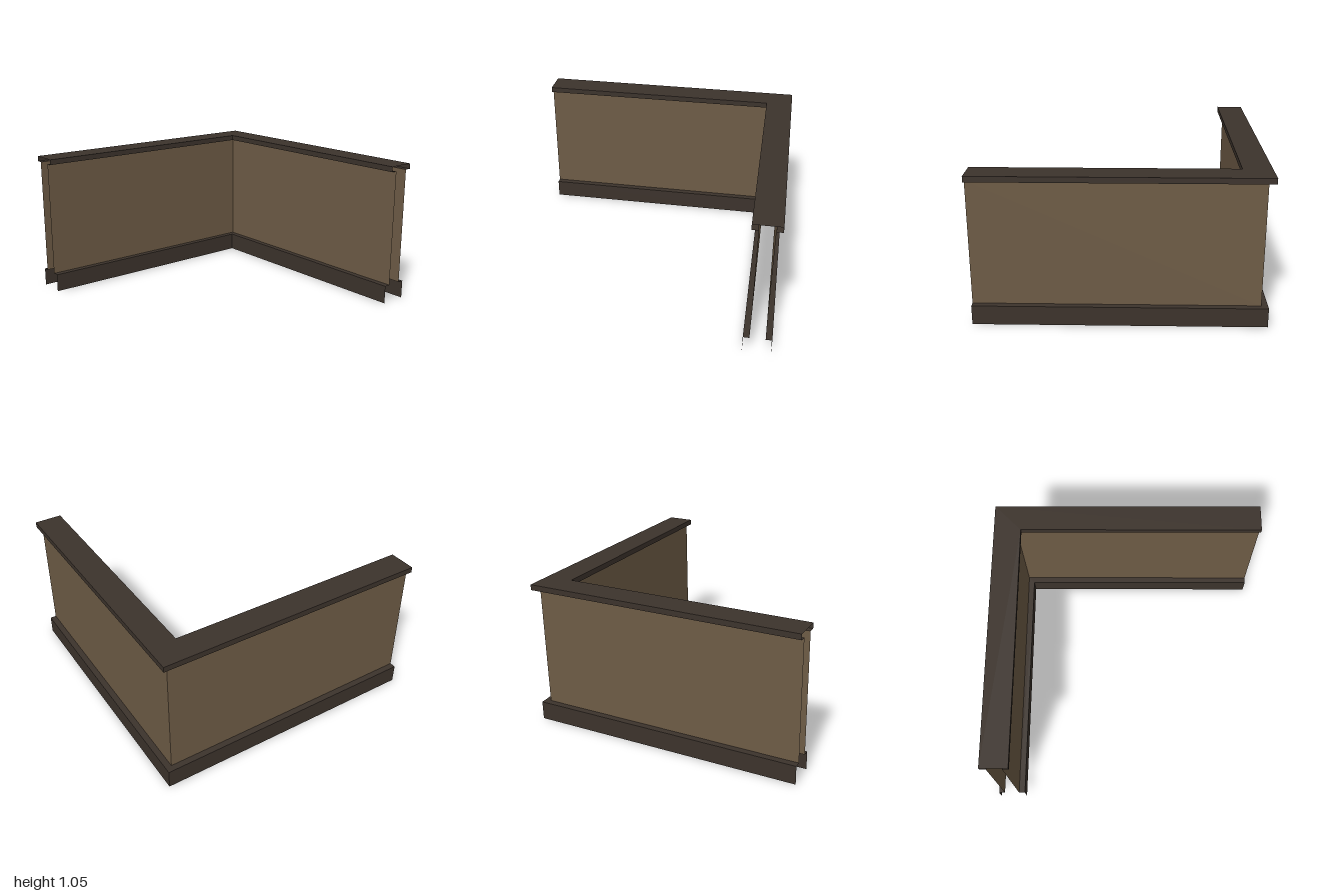
import * as THREE from 'three';

// Sweeps an open profile of [offset, height] points round the mitred corner,
// one flat quad per profile edge and leg.
function cornerSweep(profile) {
  const pos = [];
  const stations = [
    (p, y) => [p, y, 1],
    (p, y) => [p, y, p],
    (p, y) => [1, y, p],
  ];
  for (let i = 0; i < profile.length - 1; i++) {
    for (let s = 0; s < 2; s++) {
      const a = stations[s](...profile[i]);
      const b = stations[s](...profile[i + 1]);
      const c = stations[s + 1](...profile[i + 1]);
      const d = stations[s + 1](...profile[i]);
      pos.push(...a, ...b, ...c, ...a, ...c, ...d);
    }
  }
  const g = new THREE.BufferGeometry();
  g.setAttribute('position', new THREE.Float32BufferAttribute(pos, 3));
  g.computeVertexNormals();
  return g;
}

export function createModel() {
  const group = new THREE.Group();
  group.name = 'cornerWall';

  const panel = new THREE.MeshStandardMaterial({ color: 0x6e5c46, side: THREE.DoubleSide });
  panel.name = 'brown panel';
  const trim = new THREE.MeshStandardMaterial({ color: 0x3c332c, side: THREE.DoubleSide });
  trim.name = 'dark trim';

  // Offsets of the trim and panel faces, and heights of the trim
  const out = -1, inn = -0.8, wallOut = -0.955, wallIn = -0.845;
  const baseTop = 0.137, capBottom = 1.015, capTop = 1.055;

  const add = (name, profile, material) => {
    const mesh = new THREE.Mesh(cornerSweep(profile), material);
    mesh.name = name;
    group.add(mesh);
  };

  // Skirting with a ledge up to each panel; the shell is open below and at both ends
  add('outerSkirting', [[out, 0], [out, baseTop], [wallOut, baseTop]], trim);
  add('innerSkirting', [[wallIn, baseTop], [inn, baseTop], [inn, 0]], trim);

  // Wall panels
  add('outerPanel', [[wallOut, baseTop], [wallOut, capBottom]], panel);
  add('innerPanel', [[wallIn, capBottom], [wallIn, baseTop]], panel);

  // Coping along the top
  add('coping', [
    [wallOut, capBottom], [out, capBottom], [out, capTop],
    [inn, capTop], [inn, capBottom], [wallIn, capBottom],
  ], trim);

  return group;
}
